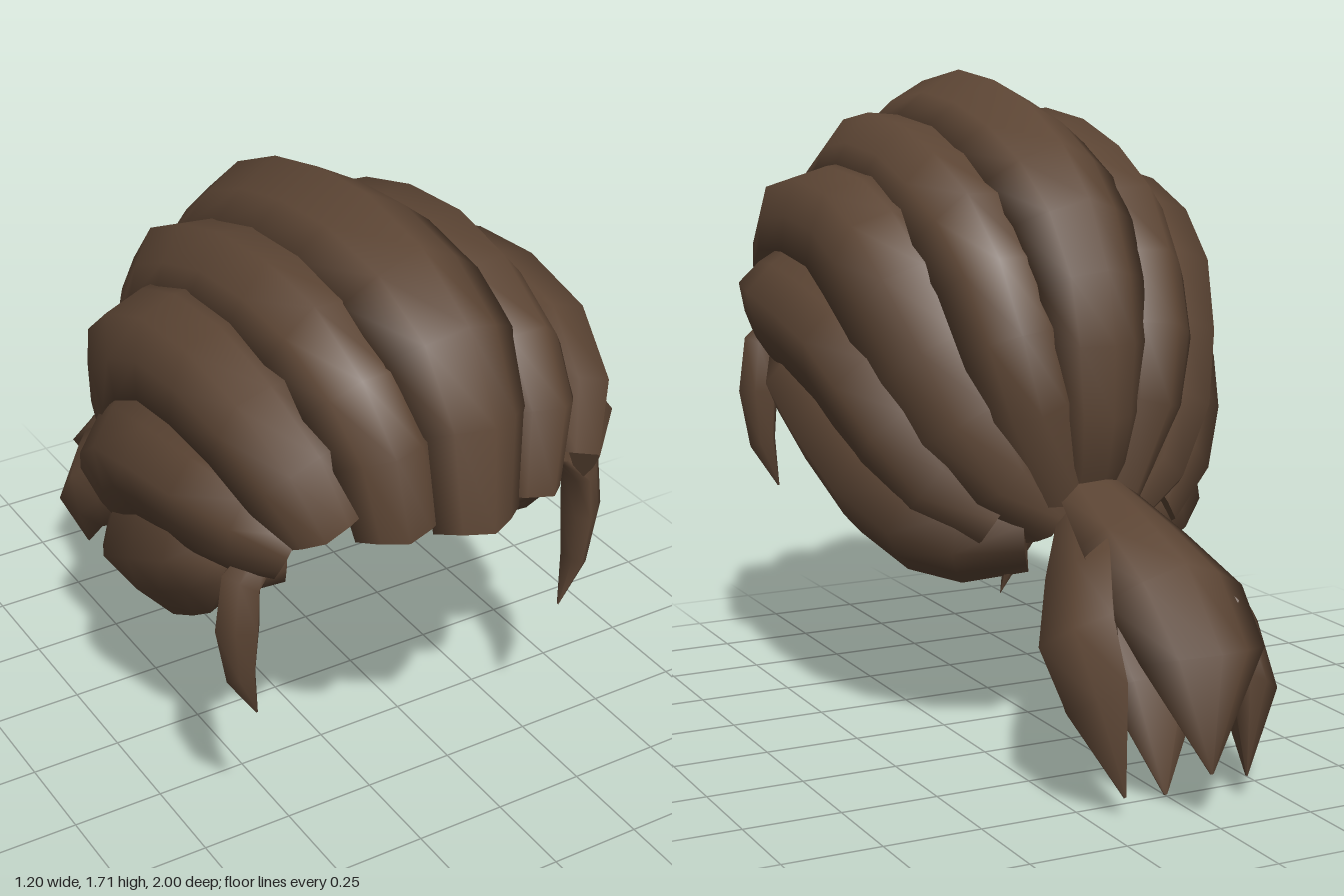
import * as THREE from 'three';

const material = new THREE.MeshStandardMaterial({ color: 0x5c4534 });
// Points that the ridges of the locks face away from
const HEAD = new THREE.Vector3(0, 0.95, 0.25);
const NAPE = new THREE.Vector3(0, 0.72, 0.12);
const TEMPLE = new THREE.Vector3(0, 0.8, 0.68);
const TAIL = new THREE.Vector3(0, 0.42, -0.68);

// Lock cross-section: soft outer ridge, shallow inner side (width, depth below the ridge)
const SECTION = [[-1, -1], [-0.55, -0.45], [0, 0], [0.55, -0.45], [1, -1], [0.5, -1.3], [-0.5, -1.3]];

// Sweeps the section along rows of [x, y, z, halfWidth]; the ridge faces away from centre
function lockGeometry(rows, centre, depth) {
  const pts = rows.map(r => new THREE.Vector3(r[0], r[1], r[2]));
  const n = SECTION.length, last = pts.length - 1;
  const pos = [], index = [], rings = [];
  pts.forEach((p, i) => {
    const t = pts[Math.min(i + 1, last)].clone().sub(pts[Math.max(i - 1, 0)]).normalize();
    const out = p.clone().sub(centre);
    out.addScaledVector(t, -out.dot(t)).normalize();
    const side = t.clone().cross(out);
    const w = rows[i][3];
    rings.push(SECTION.map(([u, v]) =>
      p.clone().addScaledVector(side, u * w).addScaledVector(out, v * w * depth)));
    rings[i].forEach(q => pos.push(q.x, q.y, q.z));
  });
  for (let i = 0; i < last; i++) {
    for (let j = 0; j < n; j++) {
      const a = i * n + j, b = i * n + (j + 1) % n;
      index.push(a, b, a + n, b, b + n, a + n);
    }
  }
  // Flat caps with their own corners
  for (const end of [0, last]) {
    const base = pos.length / 3;
    rings[end].forEach(q => pos.push(q.x, q.y, q.z));
    for (let j = 1; j < n - 1; j++) {
      if (end) index.push(base, base + j, base + j + 1);
      else index.push(base, base + j + 1, base + j);
    }
  }
  const g = new THREE.BufferGeometry();
  g.setAttribute('position', new THREE.Float32BufferAttribute(pos, 3));
  g.setIndex(index);
  g.computeVertexNormals();
  return g;
}

function addLock(group, name, rows, centre, depth) {
  const mesh = new THREE.Mesh(lockGeometry(rows, centre, depth), material);
  mesh.name = name;
  group.add(mesh);
}

function addPair(group, name, rows, centre, depth) {
  addLock(group, name + 'Left', rows, centre, depth);
  addLock(group, name + 'Right', rows.map(([x, y, z, w]) => [-x, y, z, w]), centre, depth);
}

export function createModel() {
  const hair = new THREE.Group();
  hair.name = 'hair';

  // Locks combed from the brow over the head to the tie
  const cap = new THREE.Group();
  cap.name = 'cap';
  hair.add(cap);
  addLock(cap, 'crownLock', [
    [0, 1.09, 1.0, 0.12], [0, 1.36, 0.98, 0.15], [0, 1.56, 0.86, 0.175], [0, 1.67, 0.66, 0.19],
    [0, 1.71, 0.42, 0.2], [0, 1.69, 0.2, 0.2], [0, 1.64, 0, 0.2], [0, 1.55, -0.19, 0.19],
    [0, 1.42, -0.34, 0.17], [0, 1.25, -0.44, 0.15], [0, 1.07, -0.48, 0.14], [0, 0.88, -0.475, 0.12],
    [0, 0.74, -0.44, 0.1], [0, 0.6, -0.36, 0.07]], HEAD, 0.65);
  addPair(cap, 'upperLock', [
    [0.2, 1.1, 0.95, 0.11], [0.23, 1.32, 0.93, 0.13], [0.25, 1.47, 0.81, 0.145], [0.26, 1.57, 0.62, 0.16],
    [0.27, 1.6, 0.42, 0.165], [0.27, 1.58, 0.2, 0.165], [0.27, 1.52, 0, 0.17], [0.26, 1.43, -0.18, 0.17],
    [0.24, 1.28, -0.32, 0.16], [0.22, 1.1, -0.41, 0.15], [0.18, 0.9, -0.44, 0.13], [0.1, 0.66, -0.4, 0.08]],
    HEAD, 0.65);
  addPair(cap, 'middleLock', [
    [0.38, 1.12, 0.88, 0.11], [0.44, 1.28, 0.82, 0.14], [0.48, 1.39, 0.65, 0.15], [0.49, 1.43, 0.42, 0.165],
    [0.49, 1.41, 0.2, 0.17], [0.49, 1.34, 0.02, 0.18], [0.47, 1.22, -0.13, 0.18], [0.42, 1.05, -0.25, 0.18],
    [0.36, 0.87, -0.33, 0.16], [0.26, 0.7, -0.37, 0.13], [0.12, 0.58, -0.37, 0.08]], HEAD, 0.65);
  addPair(cap, 'lowerLock', [
    [0.44, 1.06, 0.81, 0.09], [0.54, 1.12, 0.72, 0.13], [0.59, 1.12, 0.52, 0.16], [0.6, 1.09, 0.3, 0.17],
    [0.59, 1.04, 0.12, 0.18], [0.56, 0.94, -0.02, 0.18], [0.51, 0.82, -0.13, 0.17], [0.42, 0.68, -0.23, 0.15],
    [0.28, 0.57, -0.3, 0.1]], HEAD, 0.65);
  addPair(cap, 'napeLock', [
    [0.34, 0.94, 0.64, 0.08], [0.5, 0.94, 0.59, 0.1], [0.57, 0.88, 0.44, 0.16], [0.57, 0.78, 0.25, 0.19],
    [0.54, 0.66, 0.05, 0.2], [0.46, 0.57, -0.12, 0.19], [0.34, 0.53, -0.25, 0.16], [0.18, 0.54, -0.34, 0.11]],
    NAPE, 0.65);

  // Fang-shaped locks in front of the ears
  addPair(hair, 'sideburn', [
    [0.45, 1.05, 0.68, 0.045], [0.54, 0.97, 0.68, 0.06], [0.56, 0.82, 0.68, 0.065],
    [0.53, 0.66, 0.68, 0.045], [0.45, 0.54, 0.68, 0.003]], TEMPLE, 1.2);

  // Short stray ends under the tie
  for (const x of [-0.15, 0, 0.15]) {
    const spike = new THREE.Mesh(new THREE.ConeGeometry(0.055, 0.24, 6), material);
    spike.name = 'strayEnd';
    spike.position.set(x, 0.51, -0.22);
    spike.rotation.set(Math.PI - 0.25, 0, -x * 1.5);
    hair.add(spike);
  }

  // Ponytail of four pointed locks
  const tail = new THREE.Group();
  tail.name = 'ponytail';
  hair.add(tail);
  addLock(tail, 'tailTop', [
    [0, 0.74, -0.38, 0.1], [0, 0.68, -0.6, 0.15], [0, 0.6, -0.83, 0.19],
    [0, 0.42, -1.0, 0.17], [0, 0.12, -0.96, 0.005]], TAIL, 0.55);
  addLock(tail, 'tailLeft', [
    [0.08, 0.63, -0.33, 0.1], [0.22, 0.52, -0.53, 0.15], [0.32, 0.4, -0.69, 0.165],
    [0.3, 0.26, -0.8, 0.13], [0.17, 0.05, -0.84, 0.005]], TAIL, 0.8);
  addLock(tail, 'tailRight', [
    [-0.08, 0.63, -0.33, 0.1], [-0.2, 0.52, -0.55, 0.15], [-0.27, 0.4, -0.72, 0.165],
    [-0.26, 0.26, -0.83, 0.13], [-0.16, 0.06, -0.86, 0.005]], TAIL, 0.8);
  addLock(tail, 'tailUnder', [
    [0, 0.52, -0.3, 0.1], [0, 0.37, -0.45, 0.17], [0, 0.21, -0.61, 0.14],
    [0, 0, -0.74, 0.005]], TAIL, 0.7);

  return hair;
}
